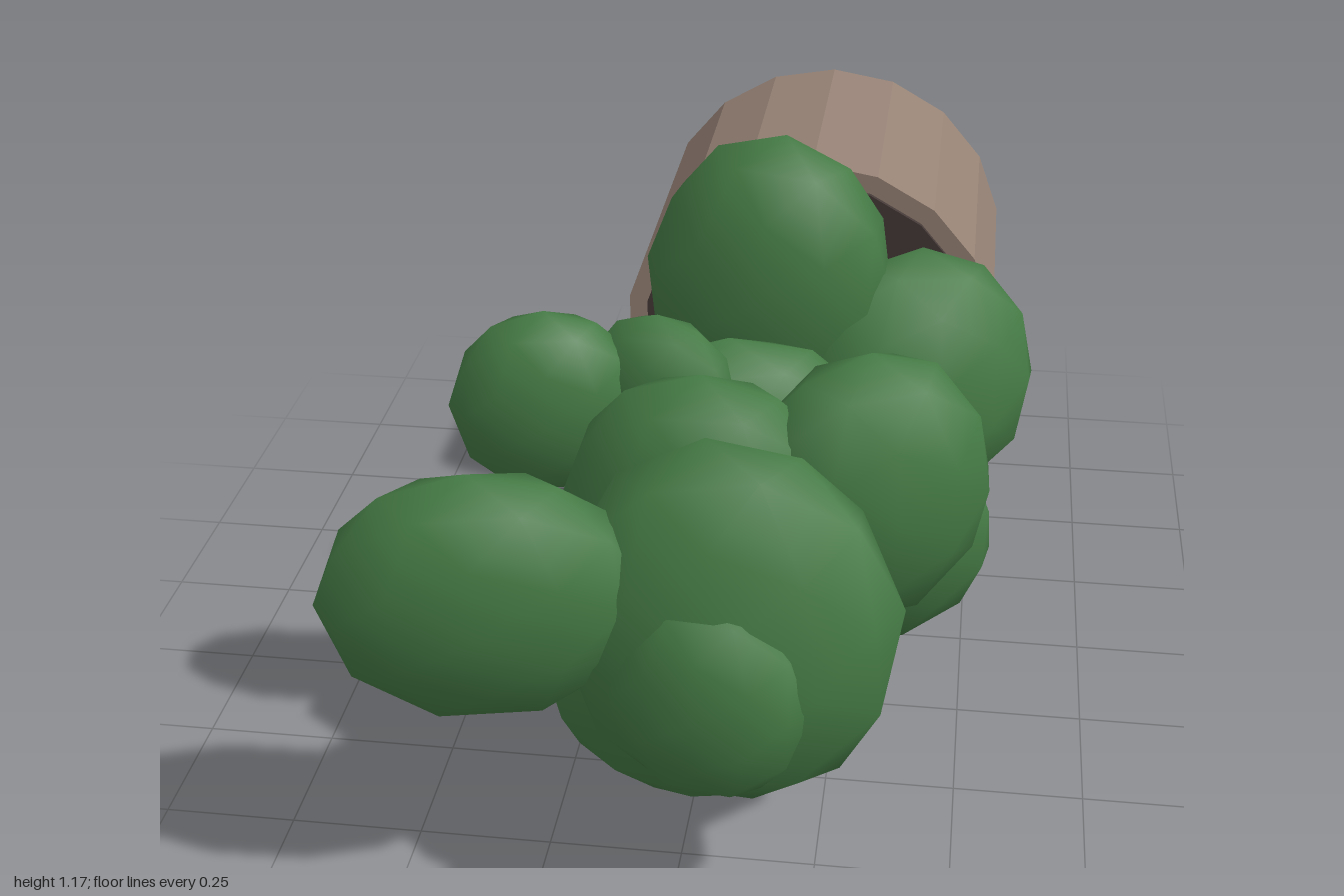
import * as THREE from 'three';

const leafMat = new THREE.MeshStandardMaterial({ color: 0x457a45 });
const potMat = new THREE.MeshStandardMaterial({ color: 0x968275, flatShading: true });
const soilMat = new THREE.MeshStandardMaterial({ color: 0x443936, flatShading: true });
const stemMat = new THREE.MeshStandardMaterial({ color: 0x443a34, flatShading: true });

function add(group, name, geometry, material) {
  const mesh = new THREE.Mesh(geometry, material);
  mesh.name = name;
  group.add(mesh);
  return mesh;
}

// cylinder between two points
function rod(group, name, from, to, radius, sides, material) {
  const a = new THREE.Vector3(...from), b = new THREE.Vector3(...to);
  const mesh = add(group, name, new THREE.CylinderGeometry(radius, radius, a.distanceTo(b), sides), material);
  mesh.position.copy(a).add(b).multiplyScalar(0.5);
  mesh.quaternion.setFromUnitVectors(new THREE.Vector3(0, 1, 0), b.sub(a).normalize());
}

export function createModel() {
  const plant = new THREE.Group();
  plant.name = 'pottedPlant';

  // pot lying on its axis, with soil just proud of the rim
  rod(plant, 'pot', [0.125, 0.51, -1], [0.125, 0.51, -0.415], 0.412, 18, potMat);
  rod(plant, 'soil', [0.125, 0.51, -0.5], [0.125, 0.51, -0.405], 0.37, 18, soilMat);

  // stems fanning out of the soil
  const stems = new THREE.Group();
  stems.name = 'stems';
  plant.add(stems);
  [
    [[-0.03, 0.53, -0.45], [0.07, 0.62, 0.1]],
    [[0.14, 0.53, -0.45], [0.12, 0.62, 0.3]],
    [[0.16, 0.47, -0.45], [0.13, 0.55, 0.45]],
    [[0.21, 0.45, -0.45], [0.21, 0.37, 0.43]],
    [[0.22, 0.48, -0.45], [0.22, 0.41, 0.1]],
  ].forEach(([a, b]) => rod(stems, 'stem', a, b, 0.023, 8, stemMat));

  // leaf clumps: centre, radii, rotation
  const foliage = new THREE.Group();
  foliage.name = 'foliage';
  plant.add(foliage);
  const clump = new THREE.IcosahedronGeometry(1, 1);
  [
    // around the stems, next to the pot
    [[0.085, 0.885, 0.085], [0.245, 0.295, 0.155], [-0.08, -0.1, -0.1]],
    [[0.38, 0.705, 0.11], [0.245, 0.255, 0.135], [-0.25, 0.4, 0]],
    [[0.335, 0.385, 0.21], [0.22, 0.235, 0.135], [0.1, 0.25, -0.2]],
    [[-0.085, 0.35, 0.12], [0.235, 0.235, 0.13], [-0.35, -0.15, 0]],
    // middle
    [[0.04, 0.62, 0.35], [0.3, 0.27, 0.13], [0, 0.3, 0]],
    [[-0.28, 0.795, 0.46], [0.18, 0.185, 0.105], [0, 0.2, 0]],
    [[-0.08, 0.8, 0.42], [0.15, 0.165, 0.09], [0, -0.2, 0]],
    [[-0.11, 0.66, 0.4], [0.15, 0.15, 0.1], [0, 0, 0]],
    [[0.31, 0.68, 0.5], [0.24, 0.275, 0.155], [0, 0.45, 0]],
    [[0.02, 0.66, 0.57], [0.26, 0.27, 0.15], [0, 0, 0]],
    [[0.01, 0.295, 0.62], [0.28, 0.315, 0.165], [0.4, 0, 0]],
    // front
    [[-0.322, 0.63, 0.85], [0.288, 0.242, 0.143], [0, 0.15, 0.05]],
    [[0.095, 0.565, 0.785], [0.305, 0.335, 0.16], [-0.22, 0, 0.15]],
    [[0.07, 0.485, 0.885], [0.185, 0.2, 0.108], [-0.1, -0.15, 0]],
  ].forEach(([centre, radii, rotation]) => {
    const mesh = add(foliage, 'leafClump', clump, leafMat);
    mesh.position.set(...centre);
    mesh.scale.set(...radii);
    mesh.rotation.set(...rotation);
  });

  return plant;
}
